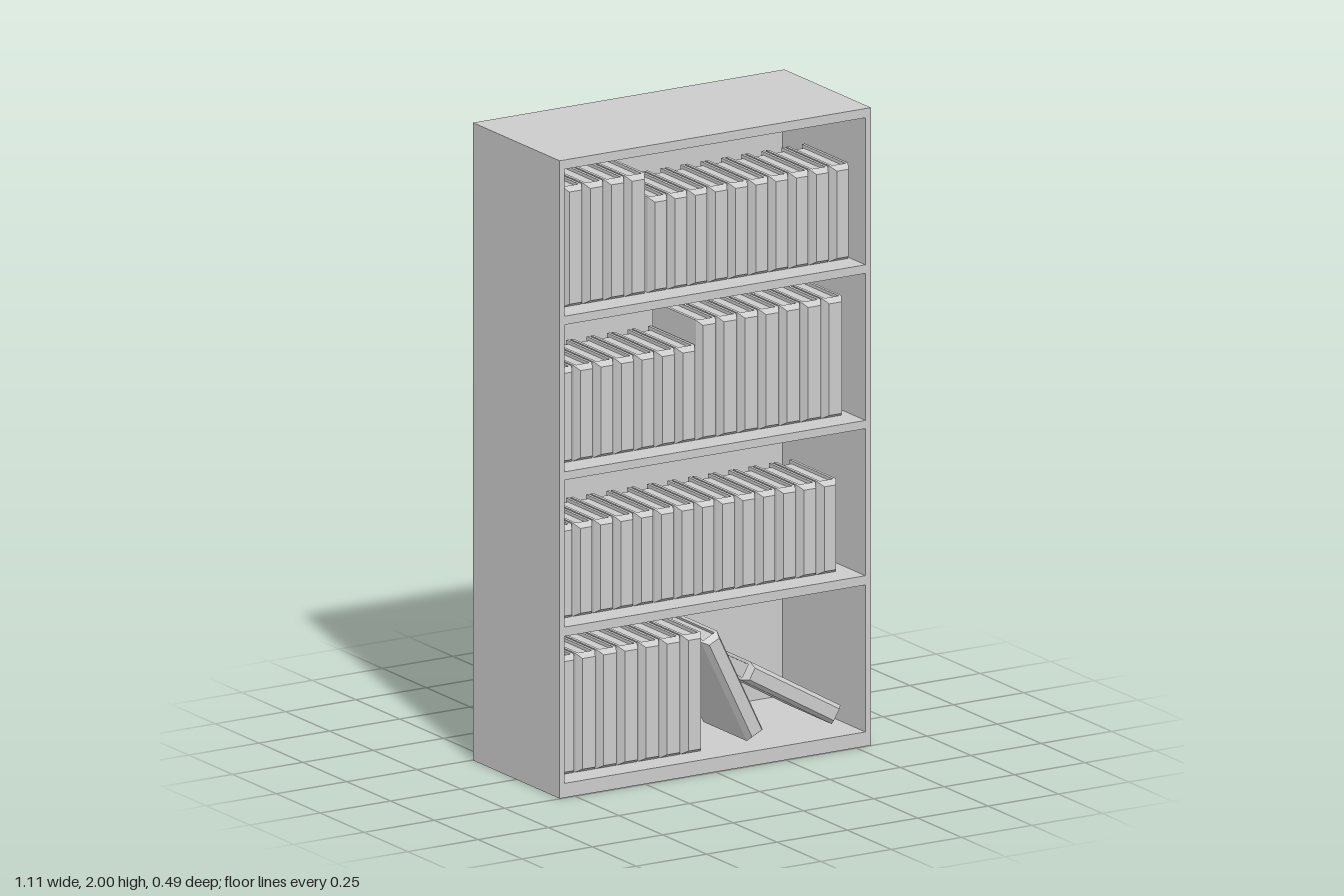
import * as THREE from 'three';

const material = new THREE.MeshStandardMaterial({ color: 0xcccccc, flatShading: true });

function addMesh(parent, geometry, name, x = 0, y = 0, z = 0) {
  const mesh = new THREE.Mesh(geometry, material);
  mesh.name = name;
  mesh.position.set(x, y, z);
  parent.add(mesh);
  return mesh;
}

function rectangle(target, x0, y0, x1, y1) {
  target.moveTo(x0, y0);
  target.lineTo(x1, y0);
  target.lineTo(x1, y1);
  target.lineTo(x0, y1);
  target.closePath();
  return target;
}

// Spine: a box whose front face is inset on all four sides
function spineGeometry(width, height, depth) {
  const geometry = new THREE.BoxGeometry(width, height, depth);
  const p = geometry.attributes.position;
  for (let i = 0; i < p.count; i++) {
    if (p.getZ(i) > 0) {
      p.setX(i, p.getX(i) - Math.sign(p.getX(i)) * 0.012);
      p.setY(i, p.getY(i) - Math.sign(p.getY(i)) * 0.013);
    }
  }
  geometry.computeVertexNormals();
  return geometry;
}

// Book centred on its own middle, spine towards the front
const BOOK_DEPTH = 0.27;
function makeBook(width, height) {
  const book = new THREE.Group();
  book.name = 'book';
  const spine = 0.022, cover = 0.01, front = BOOK_DEPTH / 2;
  const coverDepth = BOOK_DEPTH - spine;
  addMesh(book, spineGeometry(width, height, spine), 'spine', 0, 0, front - spine / 2);
  for (const side of [-1, 1]) {
    addMesh(book, new THREE.BoxGeometry(cover, height, coverDepth), 'cover',
      side * (width - cover) / 2, 0, -spine / 2);
  }
  addMesh(book, new THREE.BoxGeometry(width - 2 * cover, height - 0.02, coverDepth - 0.012),
    'pages', 0, 0, -spine / 2 + 0.006);
  return book;
}

export function createModel() {
  const model = new THREE.Group();
  model.name = 'bookcase';

  // Case with four compartments, closed by a back panel
  const halfW = 0.553, halfD = 0.247, back = 0.022;
  const floors = [0.045, 0.535, 1.022, 1.51];
  const outline = rectangle(new THREE.Shape(), -halfW, 0, halfW, 2);
  for (const y of floors) {
    outline.holes.push(rectangle(new THREE.Path(), -0.535, y, 0.533, y + 0.461));
  }
  const frame = new THREE.ExtrudeGeometry(outline, { depth: 2 * halfD - back, bevelEnabled: false });
  addMesh(model, frame, 'caseAndShelves', 0, 0, -halfD + back);
  addMesh(model, new THREE.BoxGeometry(2 * halfW, 2, back), 'backPanel', 0, 1, -halfD + back / 2);

  // Runs of upright books: shelf, first left edge, last right edge, count, height
  const runs = [
    [0, -0.52, 0, 7, 0.373],
    [1, -0.525, 0.48, 14, 0.292],
    [2, -0.525, -0.022, 7, 0.3],
    [2, -0.017, 0.5, 7, 0.376],
    [3, -0.492, -0.2, 4, 0.378],
    [3, -0.188, 0.524, 10, 0.3],
  ];
  const z = 0.185 - BOOK_DEPTH / 2, gap = 0.006;
  for (const [shelf, x0, x1, count, height] of runs) {
    const pitch = (x1 - x0 + gap) / count;
    for (let i = 0; i < count; i++) {
      const book = makeBook(pitch - gap, height);
      book.position.set(x0 + pitch * i + (pitch - gap) / 2, floors[shelf] + height / 2 + 0.001, z);
      model.add(book);
    }
  }

  // Two books toppled over on the bottom shelf
  for (const [name, x, y, degrees] of [['leaningBook', 0.111, 0.233, 26], ['fallenBook', 0.32, 0.18, 60]]) {
    const book = makeBook(0.063, 0.372);
    book.name = name;
    book.position.set(x, y, z);
    book.rotation.z = THREE.MathUtils.degToRad(degrees);
    model.add(book);
  }
  return model;
}
